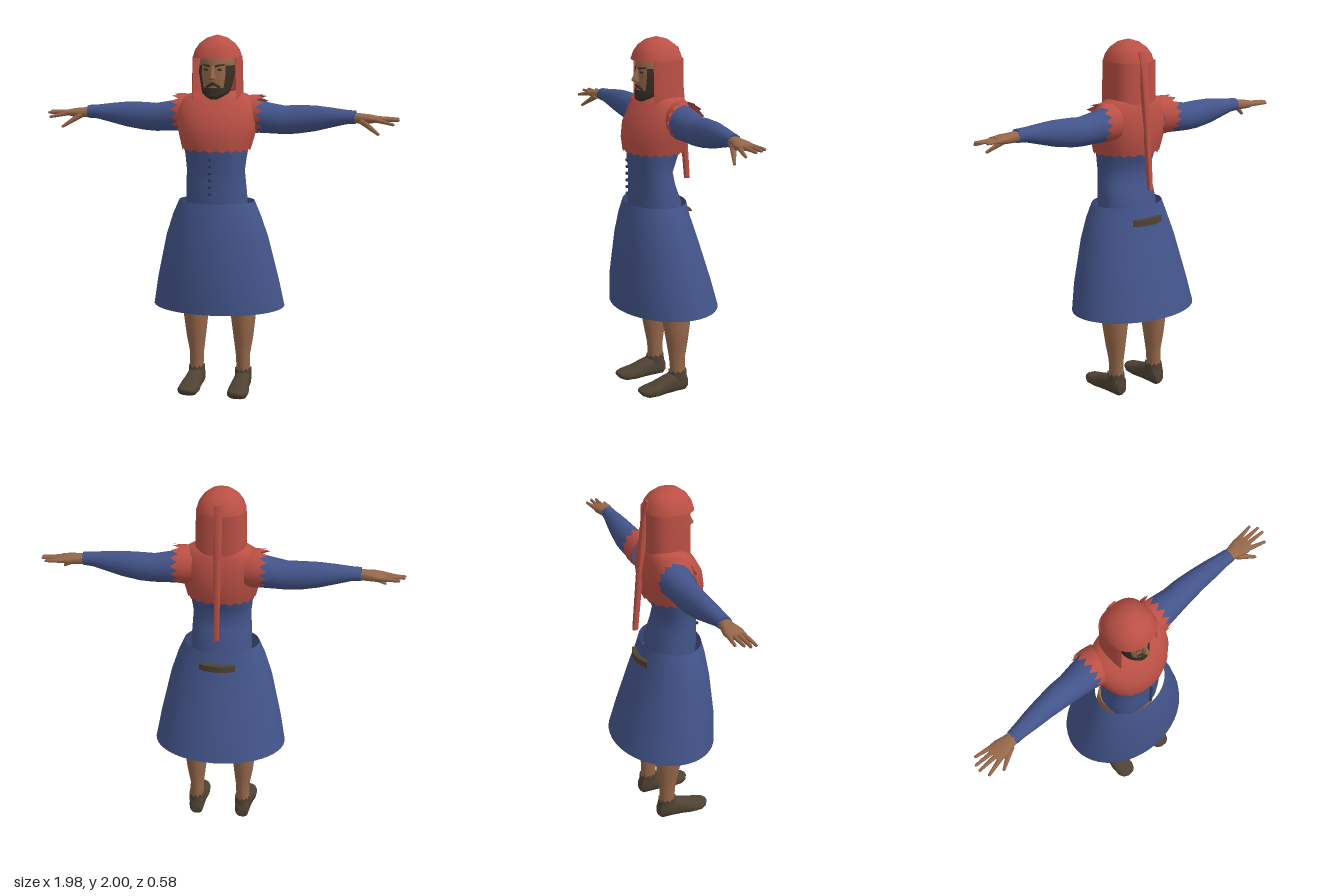
import * as THREE from 'three';
import { toCreasedNormals } from 'three/addons/utils/BufferGeometryUtils.js';

const mat = (name, color, side = THREE.FrontSide) => {
  const m = new THREE.MeshStandardMaterial({ color, side });
  m.name = name;
  return m;
};

// Rings [t, a, ra, b, rb] stacked along an axis; a/b are centres, ra/rb half sizes.
function loft(rings, { axis = 'y', n = 28, p = 2, from = 0, to = 360, caps = true, zig = [0, 0] } = {}) {
  const pos = [], idx = [], full = to - from >= 360, w = full ? n : n + 1;
  const pow = v => Math.sign(v) * Math.abs(v) ** (2 / p);
  const put = (t, a, b) => pos.push(...(axis === 'x' ? [t, a, b] : axis === 'y' ? [a, t, b] : [a, b, t]));
  rings.forEach(([t, a, ra, b, rb], i) => {
    const z = i === 0 ? zig[0] : i === rings.length - 1 ? zig[1] : 0;
    for (let j = 0; j < w; j++) {
      const th = THREE.MathUtils.degToRad(from + (to - from) * j / n);
      let c = pow(Math.cos(th)), s = pow(Math.sin(th));
      if (axis !== 'y') [c, s] = [s, c];
      put(t + (j % 2 ? z : -z), a + ra * c, b + rb * s);
    }
  });
  for (let i = 0; i < rings.length - 1; i++) {
    for (let j = 0; j < n; j++) {
      const k = (j + 1) % w, A = i * w + j, B = A + w, C = (i + 1) * w + k, D = i * w + k;
      idx.push(A, B, C, A, C, D);
    }
  }
  if (caps && full) {
    const last = rings.length - 1, c0 = pos.length / 3;
    [rings[0], rings[last]].forEach(([t, a, , b]) => put(t, a, b));
    for (let j = 0; j < n; j++) {
      const k = (j + 1) % n;
      idx.push(c0, j, k, c0 + 1, last * w + k, last * w + j);
    }
  }
  const g = new THREE.BufferGeometry();
  g.setAttribute('position', new THREE.Float32BufferAttribute(pos, 3));
  g.setIndex(idx);
  return toCreasedNormals(g, 0.8);
}

// Reflection in x with the corner order restored.
function mirrored(geo) {
  const g = geo.index ? geo.toNonIndexed() : geo.clone();
  for (const key of ['position', 'normal']) {
    const at = g.attributes[key], v = new THREE.Vector3(), u = new THREE.Vector3();
    for (let i = 0; i < at.count; i++) at.setX(i, -at.getX(i));
    for (let i = 0; i < at.count; i += 3) {
      v.fromBufferAttribute(at, i + 1);
      u.fromBufferAttribute(at, i + 2);
      at.setXYZ(i + 1, u.x, u.y, u.z);
      at.setXYZ(i + 2, v.x, v.y, v.z);
    }
  }
  return g;
}

// Tapered rod between two points.
function rod(p, q, r0, r1) {
  const a = new THREE.Vector3(...p), d = new THREE.Vector3(...q).sub(a);
  const g = new THREE.CylinderGeometry(r1, r0, d.length(), 8);
  g.translate(0, d.length() / 2, 0);
  g.applyQuaternion(new THREE.Quaternion().setFromUnitVectors(new THREE.Vector3(0, 1, 0), d.normalize()));
  return g.translate(a.x, a.y, a.z);
}

export function createModel() {
  const red = mat('red cloth', 0xbb5045, THREE.DoubleSide);
  const blue = mat('blue cloth', 0x43548a, THREE.DoubleSide);
  const skin = mat('skin', 0x96674a);
  const leather = mat('dark leather', 0x4f4233);
  const hair = mat('hair', 0x3a3026, THREE.DoubleSide);
  const button = mat('button navy', 0x2b3757);
  const model = new THREE.Group();
  const add = (name, geo, m) => {
    const mesh = new THREE.Mesh(geo, m);
    mesh.name = name;
    model.add(mesh);
  };
  const pair = (name, geo, m) => {
    add('left ' + name, geo, m);
    add('right ' + name, mirrored(geo), m);
  };

  // Skirt and bodice
  add('skirt', loft([[0.5, 0, 0.37, 0, 0.287], [0.65, 0, 0.342, 0.022, 0.267], [0.9, 0, 0.285, 0.048, 0.213],
    [1.02, 0, 0.245, 0.057, 0.183], [1.1, 0, 0.21, 0.055, 0.165]], { n: 48, caps: false }), blue);
  add('bodice', loft([[0.98, 0, 0.17, 0.05, 0.13], [1.1, 0, 0.17, 0.055, 0.135], [1.2, 0, 0.165, 0.072, 0.113],
    [1.27, 0, 0.16, 0.08, 0.105], [1.34, 0, 0.168, 0.072, 0.122], [1.42, 0, 0.18, 0.06, 0.138]], { p: 2.2 }), blue);
  for (let i = 0; i < 6; i++) {
    add('button', new THREE.SphereGeometry(0.009, 10, 8).translate(0, 1.157 + i * 0.0372, 0.222), button);
  }
  add('belt piece', loft([[1.0, 0, 0.165, 0.045, 0.165], [1.0, 0, 0.2, 0.045, 0.2],
    [1.035, 0, 0.2, 0.045, 0.2], [1.035, 0, 0.165, 0.045, 0.165]], { from: 240, to: 300, n: 12 }), leather);

  // Shoulder cape with ragged edges
  add('cape', loft([[1.385, 0, 0.186, 0.06, 0.16], [1.45, 0, 0.205, 0.055, 0.17], [1.53, 0, 0.223, 0.045, 0.165],
    [1.6, 0, 0.225, 0.03, 0.14], [1.65, 0, 0.205, 0.018, 0.118], [1.68, 0, 0.16, 0.012, 0.1],
    [1.7, 0, 0.09, 0.01, 0.08]], { n: 40, p: 2.2, caps: false, zig: [0.006, 0] }), red);
  pair('cape armhole', loft([[0.14, 1.57, 0.1, -0.005, 0.1], [0.19, 1.572, 0.106, -0.008, 0.106],
    [0.238, 1.575, 0.102, -0.01, 0.104]], { axis: 'x', caps: false, zig: [0, 0.02] }), red);

  // Hood: dome, open-faced sides and hanging tail
  add('hood dome', loft([[1.88, 0, 0.132, 0.04, 0.136], [1.92, 0, 0.12, 0.04, 0.123], [1.955, 0, 0.095, 0.04, 0.1],
    [1.985, 0, 0.055, 0.04, 0.06], [2.0, 0, 0.006, 0.04, 0.006]], { p: 2.3 }), red);
  add('hood sides', loft([[1.65, 0, 0.136, 0.035, 0.13], [1.75, 0, 0.135, 0.035, 0.128],
    [1.885, 0, 0.131, 0.035, 0.128]], { p: 2.8, from: 147, to: 393 }), red);
  add('hood tail', loft([[1.2, 0, 0.012, -0.152, 0.015], [1.55, 0, 0.018, -0.122, 0.017],
    [1.85, 0, 0.021, -0.092, 0.017], [1.94, 0, 0.022, -0.08, 0.005]], { p: 4, n: 16 }), red);

  // Head
  add('neck', new THREE.CylinderGeometry(0.06, 0.07, 0.16, 20).translate(0, 1.68, 0.02), skin);
  const face = [[1.672, 0, 0.03, 0.12, 0.03], [1.69, 0, 0.06, 0.08, 0.072], [1.74, 0, 0.08, 0.052, 0.103],
    [1.8, 0, 0.092, 0.04, 0.116], [1.86, 0, 0.094, 0.04, 0.118], [1.92, 0, 0.08, 0.04, 0.1], [1.96, 0, 0.04, 0.04, 0.05]];
  add('head', loft(face), skin);
  const grow = ([t, a, ra, b, rb], d = 0.007) => [t, a, ra + d, b, rb + d];
  add('beard', loft([[1.66, 0, 0.02, 0.13, 0.02], ...face.slice(0, 2).map(r => grow(r, 0.014)),
    [1.722, 0, 0.082, 0.06, 0.104]], { from: 0, to: 180 }), hair);
  add('beard underside', new THREE.SphereGeometry(0.03, 14, 10).scale(1.2, 0.7, 0.9).translate(0, 1.682, 0.142), hair);
  pair('sideburn', loft([grow([1.72, 0, 0.076, 0.058, 0.096]), grow(face[2]), grow(face[3]), grow([1.84, 0, 0.093, 0.04, 0.117], 0.003)],
    { from: 0, to: 48, n: 8 }), hair);
  pair('moustache', rod([0, 1.747, 0.16], [0.036, 1.725, 0.14], 0.009, 0.007), hair);
  pair('eyebrow', rod([0.014, 1.838, 0.157], [0.06, 1.846, 0.131], 0.007, 0.004), hair);
  pair('eye', new THREE.SphereGeometry(0.012, 12, 8).scale(1.1, 0.5, 0.4).rotateY(0.35).translate(0.037, 1.819, 0.148), hair);
  add('nose', loft([[1.765, 0, 0.017, 0.155, 0.022], [1.775, 0, 0.018, 0.155, 0.038],
    [1.8, 0, 0.012, 0.152, 0.028], [1.84, 0, 0.009, 0.15, 0.01]], { n: 12 }), skin);

  // Arms and hands
  pair('sleeve', loft([[0.16, 1.565, 0.095, -0.01, 0.095], [0.25, 1.555, 0.086, -0.01, 0.09], [0.36, 1.543, 0.078, -0.012, 0.075],
    [0.43, 1.547, 0.078, -0.015, 0.07], [0.53, 1.555, 0.07, -0.012, 0.06], [0.62, 1.562, 0.054, -0.006, 0.052],
    [0.7, 1.567, 0.039, 0, 0.042], [0.75, 1.567, 0.036, 0.004, 0.038]], { axis: 'x', zig: [0, 0.004] }), blue);
  pair('palm', loft([[0.72, 1.565, 0.028, 0.004, 0.03], [0.78, 1.562, 0.027, 0.004, 0.038], [0.83, 1.56, 0.024, 0.006, 0.052],
    [0.88, 1.56, 0.014, 0.006, 0.05]], { axis: 'x', n: 20, p: 2.4 }), skin);
  const fingers = [
    [[0.865, 1.557, 0.044], [0.957, 1.538, 0.066]], [[0.865, 1.56, 0.018], [0.98, 1.558, 0.022]],
    [[0.865, 1.56, -0.008], [0.976, 1.562, -0.01]], [[0.865, 1.56, -0.033], [0.95, 1.56, -0.046]],
    [[0.785, 1.552, 0.032], [0.88, 1.487, 0.08]]];
  fingers.forEach(([p, q], i) => {
    const r = i === 4 ? 0.018 : 0.013;
    pair('finger', rod(p, q, r, 0.008), skin);
    pair('fingertip', new THREE.SphereGeometry(0.008, 8, 6).translate(...q), skin);
  });

  // Legs and shoes
  pair('leg', loft([[0.08, 0.137, 0.038, -0.022, 0.042], [0.2, 0.134, 0.039, -0.018, 0.047], [0.3, 0.137, 0.054, -0.016, 0.063],
    [0.42, 0.137, 0.068, -0.012, 0.082], [0.5, 0.135, 0.069, -0.01, 0.083], [0.58, 0.13, 0.067, 0, 0.076],
    [0.75, 0.115, 0.085, 0.02, 0.1], [1.02, 0.088, 0.085, 0.04, 0.11]], { n: 24 }), skin);
  pair('shoe', loft([[-0.077, 0.135, 0.026, 0.045, 0.03], [-0.06, 0.135, 0.04, 0.058, 0.058], [0.0, 0.136, 0.044, 0.06, 0.06],
    [0.06, 0.138, 0.048, 0.05, 0.05], [0.12, 0.14, 0.058, 0.037, 0.037], [0.18, 0.142, 0.056, 0.032, 0.029],
    [0.21, 0.142, 0.042, 0.036, 0.02], [0.225, 0.142, 0.02, 0.042, 0.008]], { axis: 'z', n: 24, p: 2.6 }), leather);
  pair('shoe cuff', loft([[0.07, 0.136, 0.046, -0.02, 0.055], [0.122, 0.136, 0.046, -0.02, 0.053]],
    { n: 20, zig: [0, 0.008] }), leather);
  return model;
}
